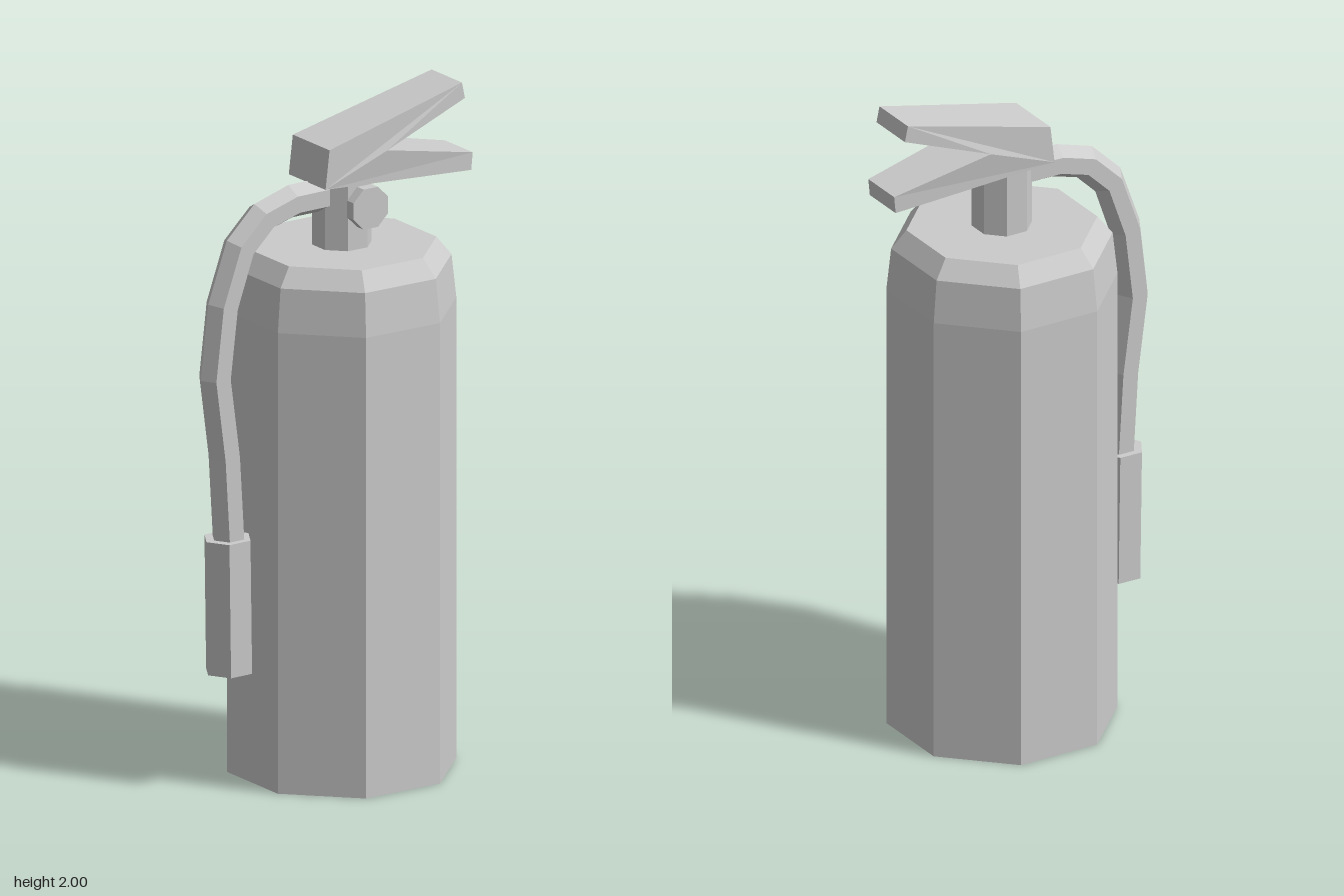
import * as THREE from 'three';

const material = new THREE.MeshStandardMaterial({ color: 0xcccccc, flatShading: true });
const AXIS_X = 0.04; // centre line of the tank

function part(name, geometry, x = 0, y = 0, z = 0) {
  const mesh = new THREE.Mesh(geometry, material);
  mesh.name = name;
  mesh.position.set(x, y, z);
  return mesh;
}

// Prism with a flat side facing front; radius is measured to the flats
function octagon(apothem, height) {
  return new THREE.CylinderGeometry(apothem / Math.cos(Math.PI / 8), apothem / Math.cos(Math.PI / 8), height, 8)
    .rotateY(Math.PI / 8);
}

// Hexagonal tube along a polyline in the xy plane, with mitred joints
function hexTube(path, radius) {
  const positions = [], index = [], n = path.length, sides = 6;
  const pts = path.map(([x, y]) => new THREE.Vector2(x, y));
  pts.forEach((p, i) => {
    const before = p.clone().sub(pts[Math.max(i - 1, 0)]).normalize();
    const after = pts[Math.min(i + 1, n - 1)].clone().sub(p).normalize();
    const t = before.add(after).normalize();
    for (let s = 0; s < sides; s++) {
      const a = (s / sides) * Math.PI * 2;
      const u = radius * Math.cos(a);
      positions.push(p.x - t.y * u, p.y + t.x * u, radius * Math.sin(a));
    }
  });
  for (let i = 0; i < n - 1; i++) {
    for (let s = 0; s < sides; s++) {
      const a = i * sides + s, b = i * sides + (s + 1) % sides;
      index.push(a, b, b + sides, a, b + sides, a + sides);
    }
  }
  // End caps
  const last = (n - 1) * sides;
  for (let s = 1; s < sides - 1; s++) {
    index.push(0, s + 1, s, last, last + s, last + s + 1);
  }
  const geometry = new THREE.BufferGeometry();
  geometry.setAttribute('position', new THREE.Float32BufferAttribute(positions, 3));
  geometry.setIndex(index);
  geometry.computeVertexNormals();
  return geometry;
}

// V-shaped pair of levers, extruded sideways and narrowed towards the tips
function leverGeometry() {
  const outline = [[-0.08, 1.767], [0.442, 1.73], [0.447, 1.782], [0.135, 1.848],
    [0.415, 1.952], [0.405, 2.0], [-0.066, 1.883]];
  const shape = new THREE.Shape(outline.map(([x, y]) => new THREE.Vector2(x, y)));
  const geometry = new THREE.ExtrudeGeometry(shape, { depth: 2, bevelEnabled: false });
  geometry.translate(0, 0, -1);
  const pos = geometry.attributes.position;
  for (let i = 0; i < pos.count; i++) {
    const tip = pos.getX(i) > 0.3;
    const half = !tip ? 0.093 : pos.getY(i) > 1.85 ? 0.077 : 0.07;
    pos.setZ(i, pos.getZ(i) * half);
  }
  geometry.computeVertexNormals();
  return geometry;
}

export function createModel() {
  const group = new THREE.Group();
  group.name = 'fireExtinguisher';

  // Eight-sided tank with a sloped shoulder
  const k = 1 / Math.cos(Math.PI / 8);
  const profile = [[0, 0], [0.31, 0], [0.31, 1.38], [0.297, 1.51], [0.256, 1.565], [0, 1.565]]
    .map(([r, y]) => new THREE.Vector2(r * k, y));
  group.add(part('tank', new THREE.LatheGeometry(profile, 8, Math.PI / 8), AXIS_X));

  // Valve neck and levers
  group.add(part('neck', octagon(0.081, 0.235), AXIS_X, 1.6725));
  group.add(part('levers', leverGeometry()));

  // Side knob on its stem
  group.add(part('knobStem', octagon(0.03, 0.06).rotateX(Math.PI / 2), AXIS_X, 1.705, 0.09));
  group.add(part('knob', octagon(0.06, 0.033).rotateX(Math.PI / 2), AXIS_X, 1.705, 0.131));

  // Hose and nozzle
  const hosePath = [[0.0, 1.722], [-0.138, 1.72], [-0.238, 1.69], [-0.317, 1.613], [-0.375, 1.448],
    [-0.4, 1.236], [-0.368, 0.997], [-0.352, 0.73]];
  group.add(part('hose', hexTube(hosePath, 0.05)));
  const nozzle = part('nozzle',
    new THREE.CylinderGeometry(0.073, 0.073, 0.4, 6).rotateY(Math.PI / 6), -0.354, 0.55);
  nozzle.rotation.z = 0.014;
  group.add(nozzle);

  return group;
}
